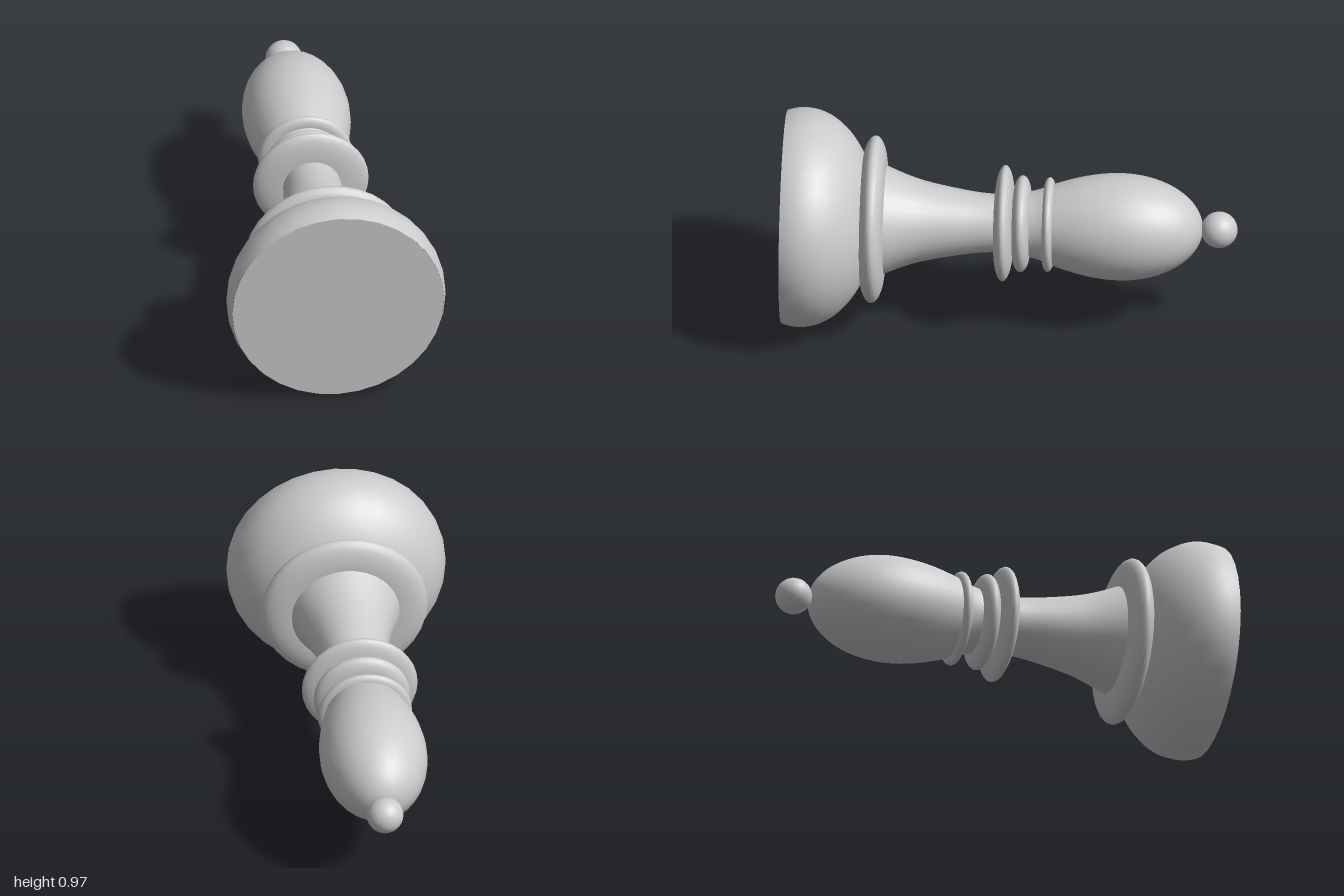
import * as THREE from 'three';

const SIDES = 32;
const AXIS_HEIGHT = 0.486;

export function createModel() {
  const model = new THREE.Group();
  model.name = 'chessBishop';
  const material = new THREE.MeshStandardMaterial({ color: 0xcccccc });

  // The piece is turned upright along local y, then laid down with its foot to the front
  const piece = new THREE.Group();
  piece.name = 'turnedPiece';
  piece.rotation.x = -Math.PI / 2;
  piece.position.set(0, AXIS_HEIGHT, 1);
  model.add(piece);

  const add = (name, geometry, y = 0) => {
    const mesh = new THREE.Mesh(geometry, material);
    mesh.name = name;
    mesh.position.y = y;
    piece.add(mesh);
    return mesh;
  };
  const lathe = (name, points) => add(name, new THREE.LatheGeometry(points, SIDES));

  // Smooth profile through a few [radius, height] points
  const smooth = (pairs, n) =>
    new THREE.SplineCurve(pairs.map(([r, y]) => new THREE.Vector2(r, y))).getPoints(n);

  // Elliptical arc from angle a0 to a1, centred at radius r0 and height y0
  const arc = (r0, y0, rr, ry, a0, a1, n) =>
    Array.from({ length: n + 1 }, (_, i) => {
      const a = a0 + ((a1 - a0) * i) / n;
      return new THREE.Vector2(Math.max(0, r0 + rr * Math.cos(a)), y0 + ry * Math.sin(a));
    });

  // Base: cut ellipsoid with a flat foot
  lathe('base', arc(0, 0.08, 0.485, 0.33, -Math.asin(0.08 / 0.33), Math.asin(0.27 / 0.33), 20));
  const foot = add('foot', new THREE.CircleGeometry(0.47, SIDES));
  foot.rotation.x = Math.PI / 2;

  // Flared stem
  lathe('stem', smooth([[0.26, 0.42], [0.24, 0.445], [0.182, 0.6], [0.142, 0.8], [0.129, 0.92], [0.129, 1]], 24));

  // Rounded rings: [name, height, outer radius, rounding width, half thickness]
  const rings = [
    ['baseCollar', 0.393, 0.37, 0.13, 0.053],
    ['lowerNeckRing', 0.969, 0.257, 0.13, 0.041],
    ['middleNeckRing', 1.047, 0.214, 0.08, 0.038],
    ['upperNeckRing', 1.167, 0.209, 0.04, 0.023],
  ];
  for (const [name, y, radius, width, half] of rings) {
    const rim = arc(radius - width, y, width, half, -Math.PI / 2, Math.PI / 2, 14);
    lathe(name, [new THREE.Vector2(0, y - half), ...rim, new THREE.Vector2(0, y + half)]);
  }

  // Neck widening into an egg-shaped head
  const headLower = smooth(
    [[0.13, 0.98], [0.147, 1.09], [0.164, 1.145], [0.182, 1.19], [0.214, 1.3], [0.232, 1.4], [0.237, 1.48]], 24);
  const headUpper = arc(0, 1.48, 0.237, 0.367, 0, Math.PI / 2, 18).slice(1);
  lathe('head', [...headLower, ...headUpper]);

  // Ball finial
  add('finial', new THREE.SphereGeometry(0.081, SIDES, 20), 1.919);

  return model;
}
